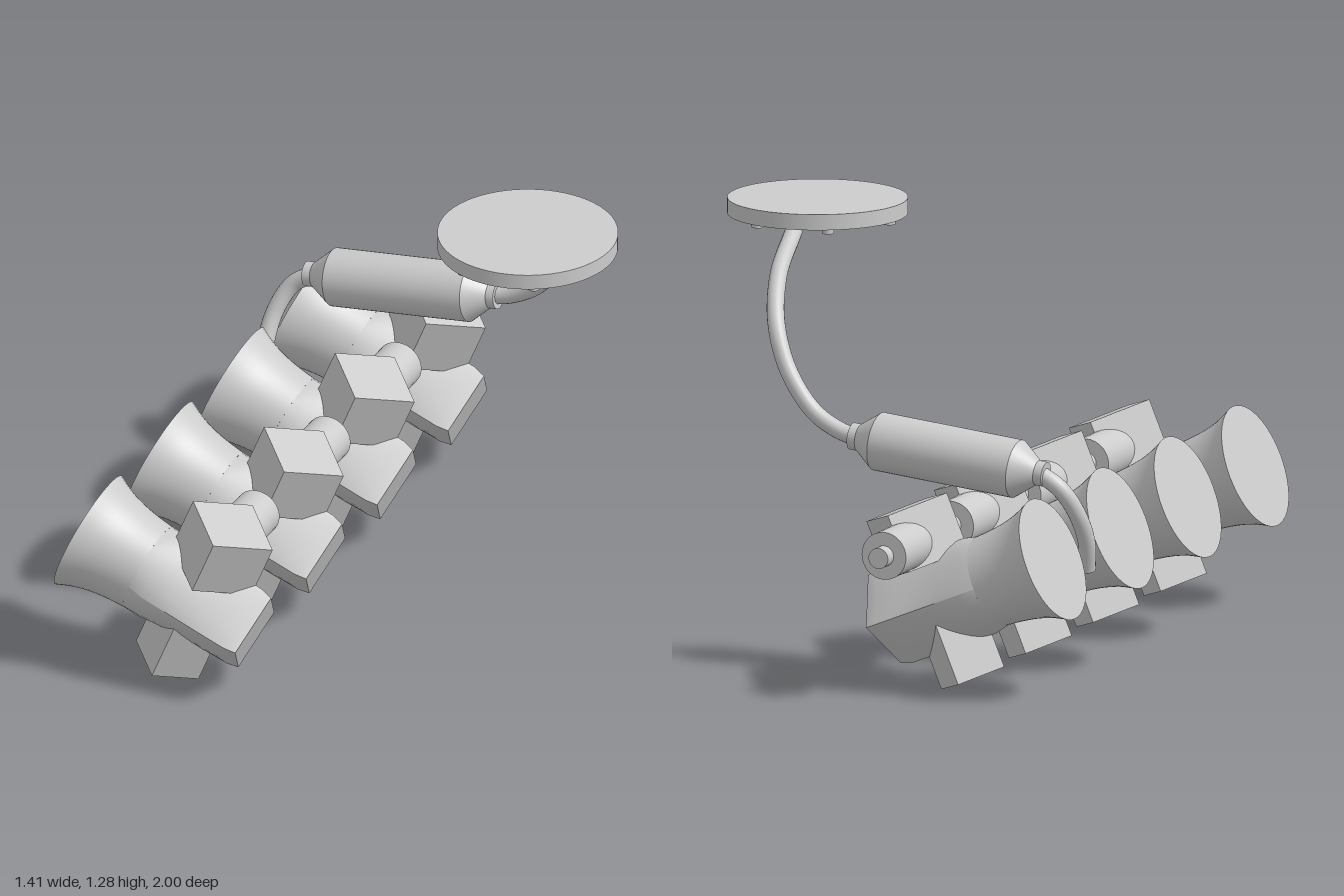
import * as THREE from 'three';
import { mergeGeometries } from 'three/addons/utils/BufferGeometryUtils.js';

const grey = new THREE.MeshStandardMaterial({ color: 0xcccccc });
grey.name = 'light grey';

function add(parent, name, geometry, x = 0, y = 0, z = 0) {
  const mesh = new THREE.Mesh(geometry, grey);
  mesh.name = name;
  mesh.position.set(x, y, z);
  parent.add(mesh);
  return mesh;
}

// Square prism standing on its end, turned so its corners lie on x and z
function diamondPrism(radius, height) {
  const g = new THREE.CylinderGeometry(radius, radius, height, 4).toNonIndexed();
  g.computeVertexNormals();
  return g;
}

// Loft along x from a round section to a diamond section, one strip per quadrant
function bodyGeometry() {
  // position along axis, radius, superellipse power (2 = circle, 1 = diamond)
  const stations = [
    [0.21, 0.138, 2], [0.26, 0.149, 1.6], [0.33, 0.149, 1.38],
    [0.4, 0.149, 1.25], [0.47, 0.149, 1.14], [0.545, 0.148, 1.06], [0.582, 0.138, 1],
  ];
  const n = 8;
  const strips = [];
  for (let q = 0; q < 4; q++) {
    const pos = [], index = [];
    stations.forEach(([u, r, p], i) => {
      for (let j = 0; j <= n; j++) {
        const t = (j / n) * Math.PI / 2;
        const a = r * Math.pow(Math.max(0, Math.cos(t)), 2 / p);
        const b = r * Math.pow(Math.sin(t), 2 / p);
        const [v, w] = [[a, b], [-b, a], [-a, -b], [b, -a]][q];
        pos.push(u, v, w);
        if (i < stations.length - 1 && j < n) {
          const k = i * (n + 1) + j, m = k + n + 1;
          index.push(k, k + 1, m, k + 1, m + 1, m);
        }
      }
    });
    const g = new THREE.BufferGeometry();
    g.setAttribute('position', new THREE.Float32BufferAttribute(pos, 3));
    g.setIndex(index);
    g.computeVertexNormals();
    strips.push(g);
  }
  return mergeGeometries(strips);
}

// One tilted unit: local x runs along its axis from the horn mouth
function makeUnit(z) {
  const unit = new THREE.Group();
  unit.name = 'hornUnit';
  unit.position.set(-0.633, 0.423, z);
  unit.rotation.z = -Math.PI / 8;

  const flare = new THREE.SplineCurve([
    [0.187, 0], [0.165, 0.05], [0.15, 0.105], [0.142, 0.16], [0.138, 0.21],
  ].map(([r, h]) => new THREE.Vector2(r, h))).getPoints(12);
  add(unit, 'horn', new THREE.LatheGeometry(flare, 48).rotateZ(-Math.PI / 2));
  add(unit, 'hornFace', new THREE.CircleGeometry(0.187, 48).rotateY(-Math.PI / 2));

  add(unit, 'body', bodyGeometry());
  add(unit, 'bodyEnd', new THREE.CircleGeometry(0.138, 4).rotateY(Math.PI / 2), 0.582);
  add(unit, 'upperBlock', diamondPrism(0.139, 0.178), 0.386, 0.2);
  add(unit, 'lowerBlock', diamondPrism(0.109, 0.22), 0.38, -0.14);

  // Stepped connector pointing back
  const rod = (r, l) => new THREE.CylinderGeometry(r, r, l, 32).rotateX(Math.PI / 2);
  add(unit, 'connector', rod(0.071, 0.225), 0.384, 0.186, -0.1525);
  add(unit, 'connectorPin', rod(0.031, 0.06), 0.384, 0.186, -0.277);
  return unit;
}

function pipe(points) {
  const curve = new THREE.CatmullRomCurve3(points.map((p) => new THREE.Vector3(...p)));
  const caps = [0, 1].map((t) => {
    const dir = curve.getTangentAt(t).multiplyScalar(t ? 1 : -1);
    const c = new THREE.CircleGeometry(0.026, 20);
    c.applyQuaternion(new THREE.Quaternion().setFromUnitVectors(new THREE.Vector3(0, 0, 1), dir));
    const p = curve.getPointAt(t);
    return c.translate(p.x, p.y, p.z);
  });
  return mergeGeometries([new THREE.TubeGeometry(curve, 48, 0.026, 20), ...caps]);
}

export function createModel() {
  const model = new THREE.Group();
  model.name = 'hornAssembly';

  for (let i = 0; i < 4; i++) model.add(makeUnit(0.811 - i * 0.502));

  // Canister with cone ends and collars, lying along its own x axis
  const canister = new THREE.Group();
  canister.name = 'canister';
  canister.position.set(-0.2275, 0.6725, -0.53);
  canister.rotation.z = 0.106;
  model.add(canister);
  const barrel = (rLeft, rRight, length) =>
    new THREE.CylinderGeometry(rRight, rLeft, length, 40).rotateZ(-Math.PI / 2);
  add(canister, 'canisterBarrel', barrel(0.087, 0.087, 0.446));
  add(canister, 'leftCone', barrel(0.037, 0.087, 0.065), -0.2555);
  add(canister, 'rightCone', barrel(0.087, 0.037, 0.065), 0.2555);
  add(canister, 'leftCollar', barrel(0.037, 0.037, 0.026), -0.301);
  add(canister, 'rightCollar', barrel(0.04, 0.04, 0.026), 0.296);

  // Pipes on both ends of the canister
  add(model, 'leftPipe', pipe([
    [-0.515, 0.643, -0.53], [-0.58, 0.6, -0.523], [-0.62, 0.525, -0.49],
    [-0.632, 0.43, -0.442], [-0.62, 0.34, -0.41],
  ]));
  add(model, 'rightPipe', pipe([
    [0.06, 0.702, -0.53], [0.12, 0.718, -0.529], [0.205, 0.768, -0.524], [0.29, 0.877, -0.51],
    [0.35, 1.0, -0.462], [0.4, 1.12, -0.335], [0.436, 1.218, -0.135],
  ]));

  // Round plate with a ring of small studs underneath
  add(model, 'plate', new THREE.CylinderGeometry(0.266, 0.266, 0.047, 64), 0.44, 1.2615, 0.052);
  for (let i = 0; i < 6; i++) {
    const a = (i * Math.PI) / 3;
    add(model, 'stud', new THREE.CylinderGeometry(0.018, 0.018, 0.03, 20),
      0.438 + 0.225 * Math.cos(a), 1.235, 0.057 + 0.225 * Math.sin(a));
  }
  return model;
}
